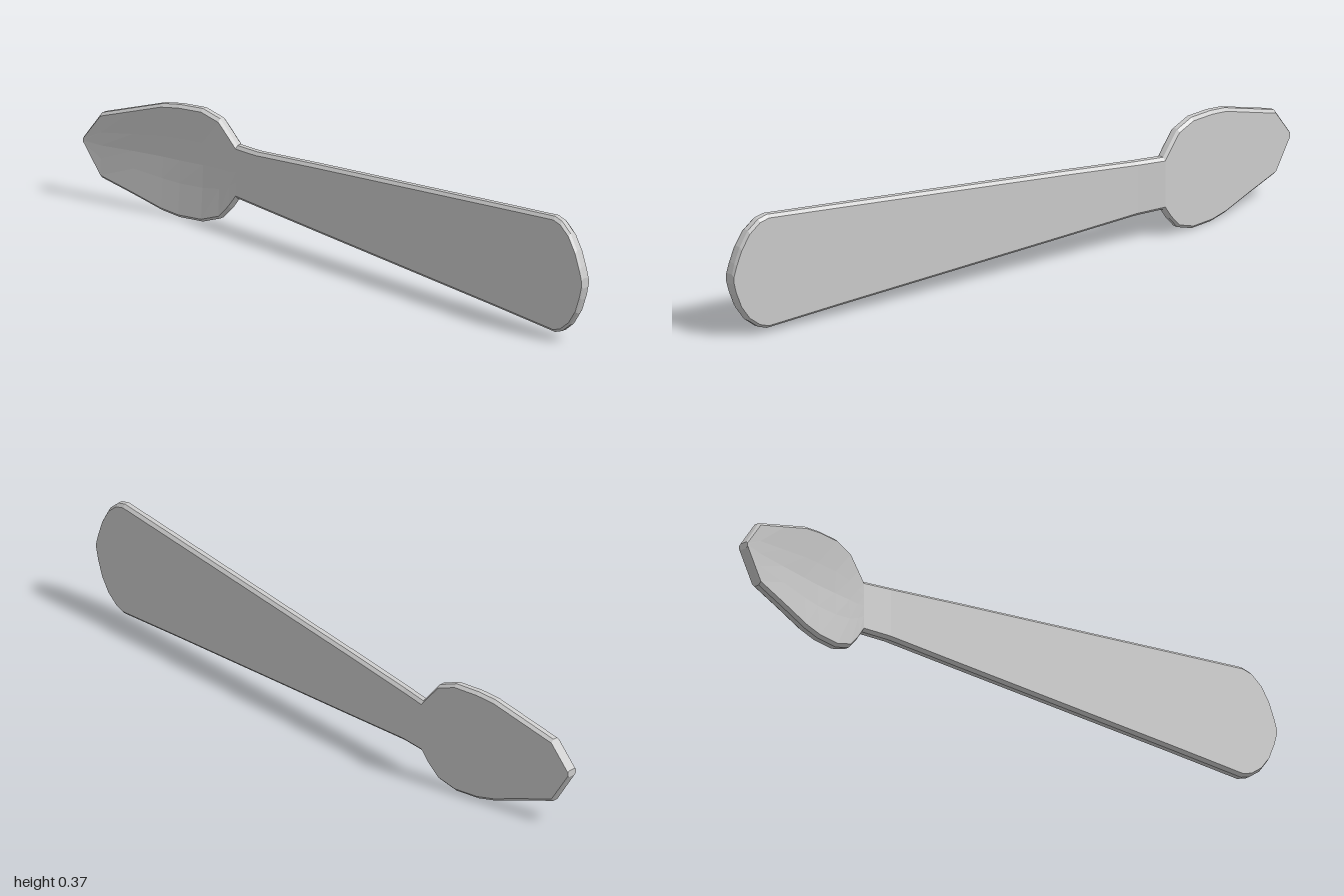
import * as THREE from 'three';

const HALF = 0.017; // half thickness of the sheet

// Height of the bent centre line in z: bowl, short knee, long straight handle
function centreZ(x) {
  if (x < -0.47) return -0.09 - (x + 1) * 0.07;
  if (x < -0.38) return -0.127 + (x + 0.47) * 0.24;
  return -0.105 + (x + 0.38) * 0.168;
}

// Closed cross-section: [x, lower y, upper y, dish depth]
function section([x, lo, hi, dish]) {
  const z = centreZ(x), f = z + HALF, b = z - HALF;
  const w = hi - lo, c = Math.min(0.009, w * 0.25);
  return [
    [lo, f - c], [lo + c, f], [lo + w * 0.3, f - dish * 0.7], [lo + w * 0.5, f - dish],
    [hi - w * 0.3, f - dish * 0.7], [hi - c, f], [hi, f - c],
    [hi, b + c], [hi - c, b], [lo + c, b], [lo, b + c],
  ].map(([y, zz]) => [x, y, zz]);
}

// Skin the sections, closing the first or last end when asked
function loft(name, stations, capStart, capEnd, material) {
  const rings = stations.map(section), n = rings[0].length;
  const index = [];
  for (let i = 0; i < rings.length - 1; i++) {
    for (let j = 0; j < n; j++) {
      const k = (j + 1) % n;
      const a = i * n + j, b = (i + 1) * n + j, c = (i + 1) * n + k, d = i * n + k;
      index.push(a, b, c, a, c, d);
    }
  }
  const last = (rings.length - 1) * n;
  for (let j = 1; j < n - 1; j++) {
    if (capStart) index.push(0, j, j + 1);
    if (capEnd) index.push(last, last + j + 1, last + j);
  }
  const geometry = new THREE.BufferGeometry();
  geometry.setAttribute('position', new THREE.Float32BufferAttribute(rings.flat(2), 3));
  geometry.setIndex(index);
  geometry.computeVertexNormals();
  const mesh = new THREE.Mesh(geometry, material);
  mesh.name = name;
  return mesh;
}

export function createModel() {
  const group = new THREE.Group();
  group.name = 'spoon';
  const material = new THREE.MeshStandardMaterial({ color: 0xcccccc, flatShading: true });

  // Pointed, shallowly dished bowl
  const bowl = [
    [-1, 0.168, 0.188, 0], [-0.94, 0.073, 0.27, 0.003], [-0.83, 0.042, 0.304, 0.008],
    [-0.73, 0.012, 0.335, 0.011], [-0.67, 0.002, 0.343, 0.011], [-0.59, 0.003, 0.345, 0.009],
    [-0.53, 0.023, 0.325, 0.005], [-0.495, 0.06, 0.285, 0.002], [-0.47, 0.095, 0.255, 0],
  ];
  // Flaring handle with a rounded end
  const handle = [
    [-0.47, 0.095, 0.255, 0], [-0.38, 0.093, 0.259, 0], [-0.13, 0.078, 0.282, 0],
    [0.63, 0.034, 0.347, 0], [0.88, 0.018, 0.368, 0], [0.91, 0.028, 0.36, 0],
    [0.945, 0.055, 0.332, 0], [0.973, 0.095, 0.287, 0], [0.991, 0.142, 0.24, 0],
    [1, 0.178, 0.208, 0],
  ];
  group.add(loft('bowl', bowl, true, false, material));
  group.add(loft('handle', handle, false, true, material));
  return group;
}
